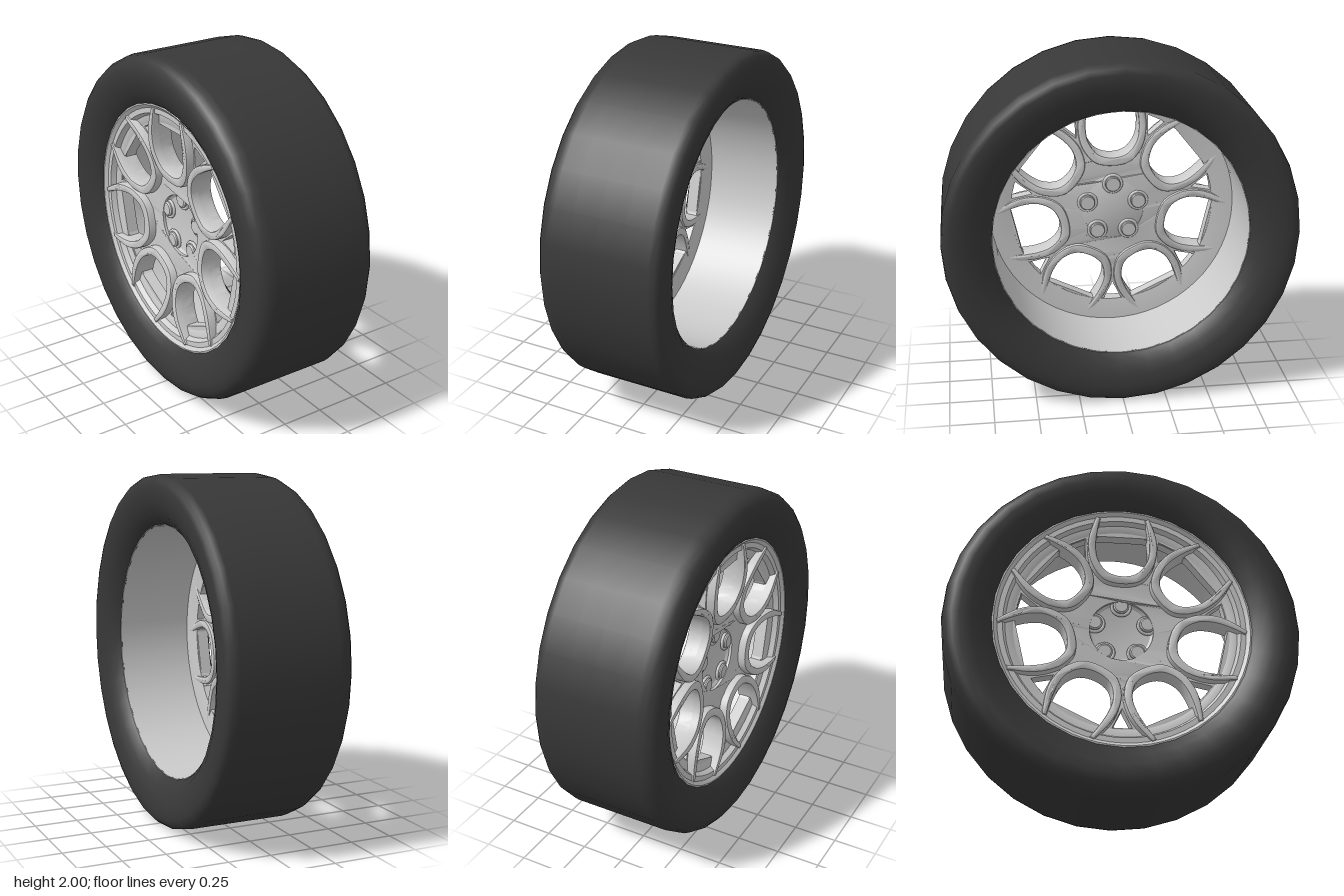
import * as THREE from 'three';
import { toCreasedNormals } from 'three/addons/utils/BufferGeometryUtils.js';

const PETALS = 7, BOLTS = 5;
const metal = new THREE.MeshStandardMaterial({ color: 0xcccccc });
const rubber = new THREE.MeshStandardMaterial({ color: 0x383838 });

// The wheel is built around local z; +z is the spoked outer face.
function lathe(profile, segments, crease) {
  const pts = profile.map(([r, d]) => new THREE.Vector2(r, d));
  const geo = new THREE.LatheGeometry(pts, segments).rotateX(Math.PI / 2);
  return crease ? toCreasedNormals(geo, crease) : geo;
}

// Sinks the middle of the spoke face towards the hub
function dish(geo) {
  const p = geo.attributes.position;
  for (let i = 0; i < p.count; i++) {
    const r = Math.hypot(p.getX(i), p.getY(i));
    p.setZ(i, p.getZ(i) - 0.035 * (1 - THREE.MathUtils.smoothstep(r, 0.2, 0.6)));
  }
  return toCreasedNormals(geo, 0.6);
}

// Smooth U curve, mirrored from its right half, running from left tip to right tip
function uCurve(half) {
  const right = half.map(([x, y]) => new THREE.Vector2(x, y));
  const left = right.slice(1).reverse().map(v => new THREE.Vector2(-v.x, v.y));
  return new THREE.SplineCurve([...left, ...right]).getPoints(40);
}

function turned(points, angle) {
  const o = new THREE.Vector2();
  return points.map(p => p.clone().rotateAround(o, angle));
}

export function createModel() {
  const model = new THREE.Group();
  const wheel = new THREE.Group();
  wheel.name = 'wheel';
  wheel.position.y = 1;
  wheel.rotation.y = -Math.PI / 2;
  model.add(wheel);

  const add = (name, geo, mat = metal) => {
    const mesh = new THREE.Mesh(geo, mat);
    mesh.name = name;
    wheel.add(mesh);
    return mesh;
  };

  // Tyre: rounder shoulder on the outer side
  add('tyre', lathe([
    [0.72, -0.28], [0.735, -0.3], [0.78, -0.335], [0.84, -0.36], [0.9, -0.37], [0.945, -0.368],
    [0.975, -0.358], [0.993, -0.338], [1, -0.305], [1, -0.15], [1, 0], [1, 0.15], [1, 0.265],
    [0.993, 0.305], [0.975, 0.338], [0.945, 0.36], [0.9, 0.37], [0.84, 0.362],
    [0.78, 0.34], [0.735, 0.312], [0.72, 0.295],
  ], 32), rubber);

  // Barrel with the stepped outer lip
  add('rim', lathe([
    [0.718, -0.285], [0.73, -0.285], [0.73, 0.3], [0.715, 0.302], [0.695, 0.285], [0.665, 0.285],
    [0.65, 0.255], [0.61, 0.25], [0.595, 0.24], [0.595, 0.175], [0.65, 0.165], [0.718, 0.16],
    [0.718, -0.285],
  ], 64, 0.5));

  // Petal openings and the raised ridges round them
  const inner = uCurve([[0, 0.32], [0.085, 0.342], [0.138, 0.41], [0.153, 0.49], [0.147, 0.58], [0.128, 0.68]]);
  const outer = uCurve([[0, 0.268], [0.105, 0.29], [0.175, 0.375], [0.199, 0.475], [0.192, 0.57], [0.155, 0.685]]);
  const opening = inner.filter(p => p.length() < 0.605);
  const gap = [[0, 0.48], [0.055, 0.597], [-0.055, 0.597]].map(([x, y]) => new THREE.Vector2(x, y));

  // Spoke plate
  const plate = new THREE.Shape().absarc(0, 0, 0.63, 0, Math.PI * 2);
  plate.holes.push(new THREE.Path().absarc(0, 0, 0.18, 0, Math.PI * 2, true));
  for (let i = 0; i < PETALS; i++) {
    const a = i * Math.PI * 2 / PETALS;
    plate.holes.push(new THREE.Path(turned(opening, a)));
    plate.holes.push(new THREE.Path(turned(gap, a + Math.PI / PETALS)));
  }
  add('spokePlate', dish(new THREE.ExtrudeGeometry(plate, {
    depth: 0.07, bevelEnabled: false, curveSegments: 64,
  }).translate(0, 0, 0.178)));

  const ridge = dish(new THREE.ExtrudeGeometry(new THREE.Shape([...outer, ...inner.slice().reverse()]), {
    depth: 0.11, bevelThickness: 0.012, bevelSize: 0.012, bevelOffset: -0.012, bevelSegments: 2,
  }).translate(0, 0, 0.175));
  for (let i = 0; i < PETALS; i++) {
    add('spokeRidge', ridge).rotation.z = i * Math.PI * 2 / PETALS;
  }

  // Sunken hub
  add('hub', lathe([
    [0, 0.148], [0.19, 0.148], [0.215, 0.16], [0.215, 0.214], [0.2, 0.214],
    [0.165, 0.185], [0.09, 0.176], [0, 0.176],
  ], 48, 0.5));

  // Bolts, showing on both sides of the hub, each with a collar
  const bolt = lathe([
    [0, 0.125], [0.04, 0.125], [0.044, 0.13], [0.044, 0.203], [0.036, 0.21], [0, 0.21],
  ], 24, 0.5);
  const collar = new THREE.TorusGeometry(0.052, 0.009, 8, 28);
  for (let i = 0; i < BOLTS; i++) {
    const a = Math.PI / 2 + i * Math.PI * 2 / BOLTS;
    const x = 0.157 * Math.cos(a), y = 0.157 * Math.sin(a);
    add('bolt', bolt).position.set(x, y, 0);
    add('boltCollar', collar).position.set(x, y, 0.19);
    add('boltCollarBack', collar).position.set(x, y, 0.148);
  }
  return model;
}
